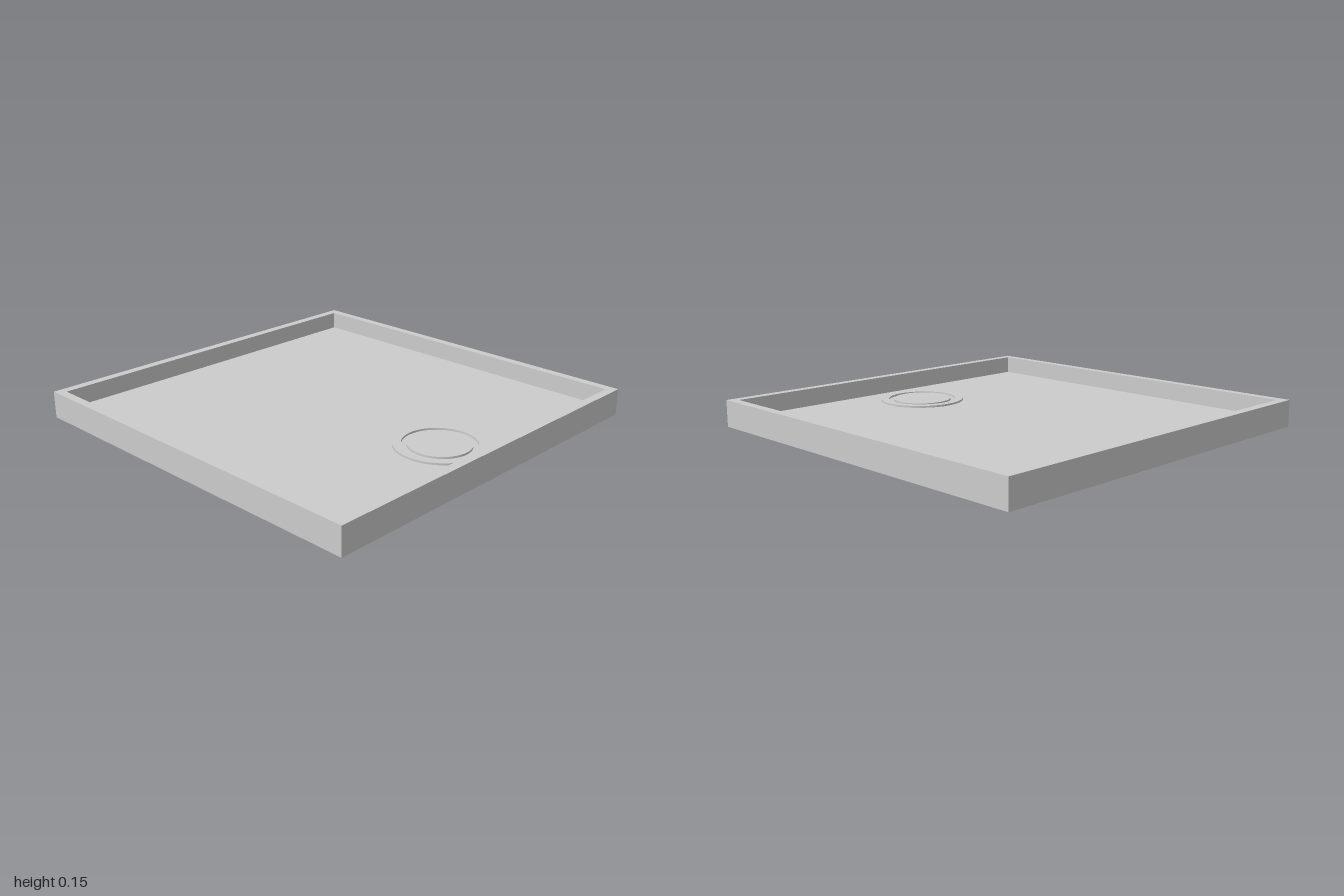
import * as THREE from 'three';

const BASE = 0.01, FLOOR = 0.055, TOP = 0.148, WALL = 0.045;

export function createModel() {
  const group = new THREE.Group();
  const material = new THREE.MeshStandardMaterial({ color: 0xcccccc });
  const add = (name, geometry, x, y, z) => {
    const mesh = new THREE.Mesh(geometry, material);
    mesh.name = name;
    mesh.position.set(x, y, z);
    group.add(mesh);
    return mesh;
  };

  // Floor slab
  add('trayFloor', new THREE.BoxGeometry(2, FLOOR - BASE, 2), 0, (FLOOR + BASE) / 2, 0);

  // Raised square rim
  const square = (Shape, half) => new Shape([[-1, -1], [1, -1], [1, 1], [-1, 1]]
    .map(([x, y]) => new THREE.Vector2(x * half, y * half)));
  const rim = square(THREE.Shape, 1);
  rim.holes.push(square(THREE.Path, 1 - WALL));
  const rimGeometry = new THREE.ExtrudeGeometry(rim, { depth: TOP - FLOOR, bevelEnabled: false });
  rimGeometry.rotateX(-Math.PI / 2);
  add('trayRim', rimGeometry, 0, FLOOR, 0);

  // Drain: underside disc, flange and centre cap with a groove between them
  const drainX = 0.665, drainTop = FLOOR + 0.01;
  add('drainBase', new THREE.CylinderGeometry(0.222, 0.222, BASE, 64), drainX, BASE / 2, 0);

  const flange = new THREE.Shape().absarc(0, 0, 0.222, 0, Math.PI * 2);
  flange.holes.push(new THREE.Path().absarc(0, 0, 0.18, 0, Math.PI * 2, true));
  const flangeGeometry = new THREE.ExtrudeGeometry(flange, {
    depth: drainTop - FLOOR, bevelEnabled: false, curveSegments: 64,
  });
  flangeGeometry.rotateX(-Math.PI / 2);
  add('drainFlange', flangeGeometry, drainX, FLOOR, 0);

  add('drainCap', new THREE.CylinderGeometry(0.155, 0.155, drainTop - FLOOR, 64),
    drainX, (FLOOR + drainTop) / 2, 0);

  return group;
}
